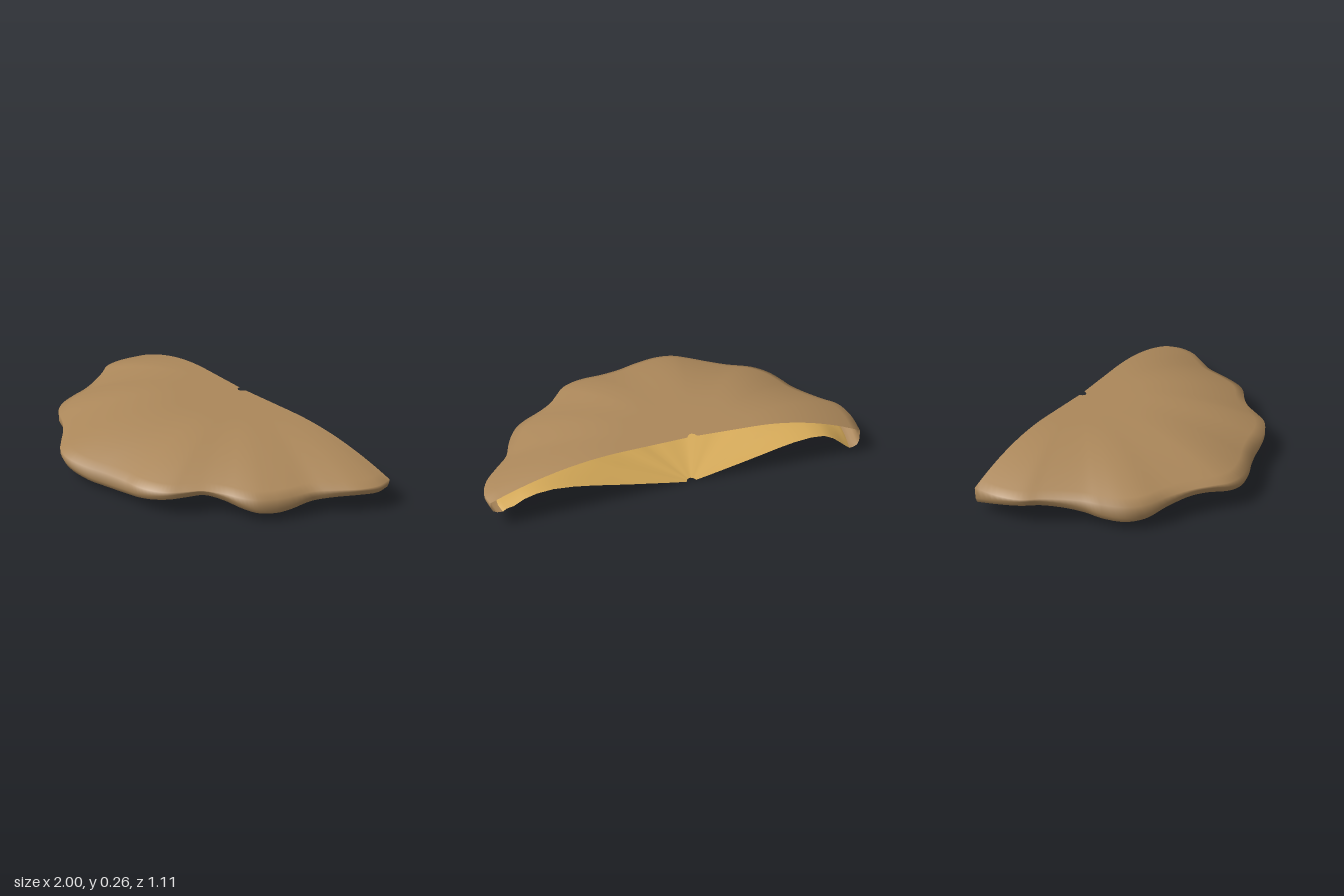
import * as THREE from 'three';

// Centre of the straight back edge, from which the shelf fans out
const CX = -0.055, CZ = -0.51;

// Wavy outline from the left back corner round the front: x, z, height of the rim's underside
const OUTLINE = [
  [0.99, -0.555, 0.075], [1, -0.47, 0.08], [0.965, -0.37, 0.088], [0.89, -0.27, 0.08],
  [0.82, -0.18, 0.062], [0.78, -0.07, 0.038], [0.75, 0, 0.03], [0.70, 0.08, 0.037],
  [0.64, 0.13, 0.055], [0.55, 0.18, 0.083], [0.47, 0.24, 0.1], [0.41, 0.32, 0.09],
  [0.36, 0.385, 0.08], [0.29, 0.43, 0.066], [0.21, 0.455, 0.052], [0.12, 0.465, 0.038],
  [0, 0.49, 0.03], [-0.12, 0.53, 0.036], [-0.25, 0.55, 0.055], [-0.34, 0.53, 0.072],
  [-0.41, 0.475, 0.086], [-0.49, 0.405, 0.086], [-0.6, 0.33, 0.062], [-0.72, 0.27, 0.036],
  [-0.785, 0.19, 0.028], [-0.82, 0.08, 0.036], [-0.835, 0, 0.052], [-0.87, -0.09, 0.07],
  [-0.93, -0.2, 0.086], [-0.985, -0.28, 0.088], [-1, -0.4, 0.07], [-0.98, -0.55, 0.032],
];
const SEGMENTS = 124;

// Domed cap profile: flat in the middle, falling to the rim, then rolling under
function capProfile(rim) {
  const rows = [];
  const edge = 0.135 + 0.2 * (rim - 0.06);
  for (let j = 0; j <= 18; j++) {
    const t = 0.025 + 0.975 * j / 18;
    const k = Math.max(0, (t - 0.35) / 0.65);
    rows.push([t, 0.265 - (0.265 - edge) * k * k]);
  }
  rows.push([1, rim + 0.04], [0.99, rim + 0.014], [0.97, rim + 0.003], [0.945, rim]);
  return rows;
}

// Underside profile: from the rim up into a hollow, then down to a low point at the back
function poreProfile(rim) {
  return [
    [0.945, rim], [0.925, rim + 0.012], [0.89, rim * 0.5 + 0.055], [0.84, rim * 0.25 + 0.1],
    [0.78, 0.134], [0.7, 0.138], [0.6, 0.126], [0.5, 0.106], [0.4, 0.082],
    [0.3, 0.059], [0.2, 0.037], [0.1, 0.015], [0.025, 0],
  ];
}

// Sweeps a radial profile round the outline
function fanSurface(profile) {
  const curve = new THREE.CatmullRomCurve3(
    OUTLINE.map(([x, z, rim]) => new THREE.Vector3(x, rim, z)));
  const position = [], index = [];
  let n = 0;
  for (let i = 0; i <= SEGMENTS; i++) {
    const p = curve.getPoint(i / SEGMENTS);
    const rows = profile(p.y);
    n = rows.length;
    for (const [t, y] of rows) position.push(CX + (p.x - CX) * t, y, CZ + (p.z - CZ) * t);
  }
  for (let i = 0; i < SEGMENTS; i++) {
    for (let j = 0; j < n - 1; j++) {
      const a = i * n + j, b = a + n;
      index.push(a, b, a + 1, b, b + 1, a + 1);
    }
  }
  const geometry = new THREE.BufferGeometry();
  geometry.setAttribute('position', new THREE.Float32BufferAttribute(position, 3));
  geometry.setIndex(index);
  geometry.computeVertexNormals();
  return geometry;
}

export function createModel() {
  const group = new THREE.Group();
  group.name = 'bracketFungus';

  const brown = new THREE.MeshStandardMaterial({ color: 0xab875a, side: THREE.DoubleSide });
  brown.name = 'capBrown';
  const gold = new THREE.MeshStandardMaterial({ color: 0xd2a757, side: THREE.DoubleSide });
  gold.name = 'undersideGold';

  // The shell is open along the back, so both sheets show from either side
  const cap = new THREE.Mesh(fanSurface(capProfile), brown);
  cap.name = 'cap';
  const underside = new THREE.Mesh(fanSurface(poreProfile), gold);
  underside.name = 'underside';
  group.add(cap, underside);
  return group;
}
